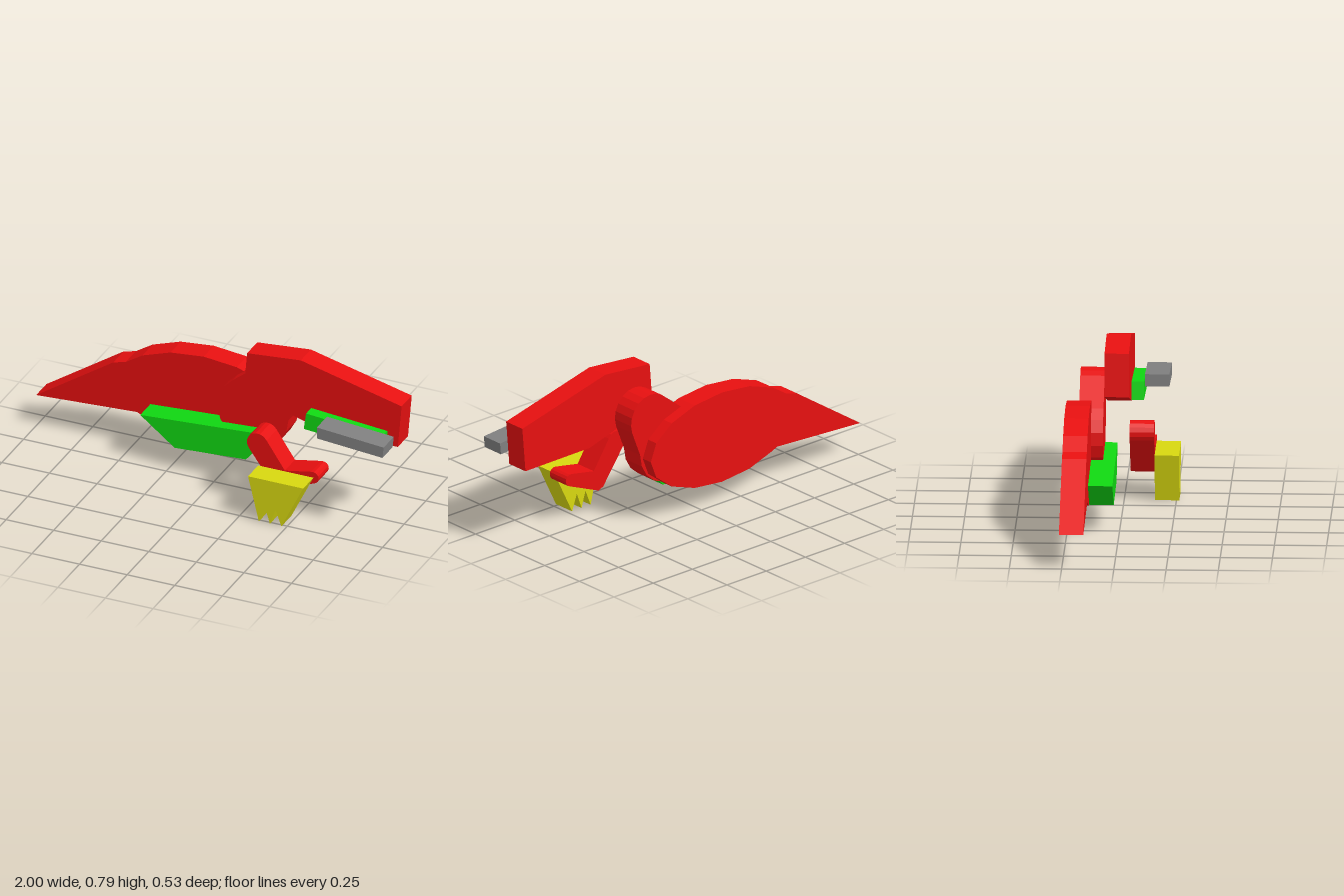
import * as THREE from 'three';

const material = (name, color) => {
  const m = new THREE.MeshStandardMaterial({ color });
  m.name = name;
  return m;
};

const THICK = 0.117; // every layer is a slab of the same thickness

// Points on an ellipse arc, angles in degrees
function arc(cx, cy, rx, ry, from, to, steps) {
  const pts = [];
  for (let i = 0; i <= steps; i++) {
    const a = THREE.MathUtils.degToRad(from + ((to - from) * i) / steps);
    pts.push([cx + rx * Math.cos(a), cy + ry * Math.sin(a)]);
  }
  return pts;
}

// Flat slab cut from an outline, with its back face at z
function slab(name, points, z, mat) {
  const shape = new THREE.Shape(points.map(([x, y]) => new THREE.Vector2(x, y)));
  const geo = new THREE.ExtrudeGeometry(shape, { depth: THICK, bevelEnabled: false });
  geo.translate(0, 0, z);
  const mesh = new THREE.Mesh(geo, mat);
  mesh.name = name;
  return mesh;
}

export function createModel() {
  const red = material('red', 0xe81010);
  const green = material('green', 0x10d812);
  const yellow = material('yellow', 0xd8d810);
  const gray = material('gray', 0x808080);

  const group = new THREE.Group();
  group.name = 'dinosaur';

  // Oval torso running into a pointed tail
  const body = [
    ...arc(-0.12, 0.352, 0.455, 0.233, -135, 135, 12),
    [-0.53, 0.46], [-0.595, 0.443], [-1, 0.17], [-0.47, 0.2],
  ];
  // Broad shoulder narrowing to a rounded neck top
  const neck = [
    ...arc(0.165, 0.375, 0.187, 0.185, 125, 360, 12),
    ...arc(0.285, 0.547, 0.125, 0.125, -20, 125, 8),
  ];
  const belly = [[-0.4, 0.26], [-0.22, 0.122], [0.155, 0.145], [0.27, 0.28], [0.28, 0.305]];
  const head = [[0.17, 0.555], [0.57, 0.438], [0.98, 0.435], [1, 0.662], [0.47, 0.791], [0.188, 0.765]];
  const mouth = [[0.513, 0.456], [0.925, 0.424], [0.925, 0.51], [0.525, 0.543]];
  const teeth = [[0.635, 0.492], [0.98, 0.465], [0.986, 0.523], [0.635, 0.552]];
  // Bent arm with rounded shoulder and hand
  const arm = [
    ...arc(0.296, 0.354, 0.056, 0.056, 30, 215, 8),
    [0.38, 0.143], [0.41, 0.13],
    ...arc(0.587, 0.236, 0.031, 0.031, -60, 105, 6),
    [0.44, 0.24],
  ];
  const claws = [
    [0.3, 0.236], [0.357, 0.002], [0.39, 0.085], [0.415, 0.002],
    [0.445, 0.085], [0.475, 0.002], [0.59, 0.236],
  ];

  group.add(
    slab('bodyAndTail', body, -0.263, red),
    slab('neck', neck, -0.205, red),
    slab('belly', belly, -0.146, green),
    slab('head', head, -0.088, red),
    slab('mouth', mouth, -0.028, green),
    slab('arm', arm, 0.03, red),
    slab('teeth', teeth, 0.089, gray),
    slab('claws', claws, 0.147, yellow),
  );
  return group;
}
